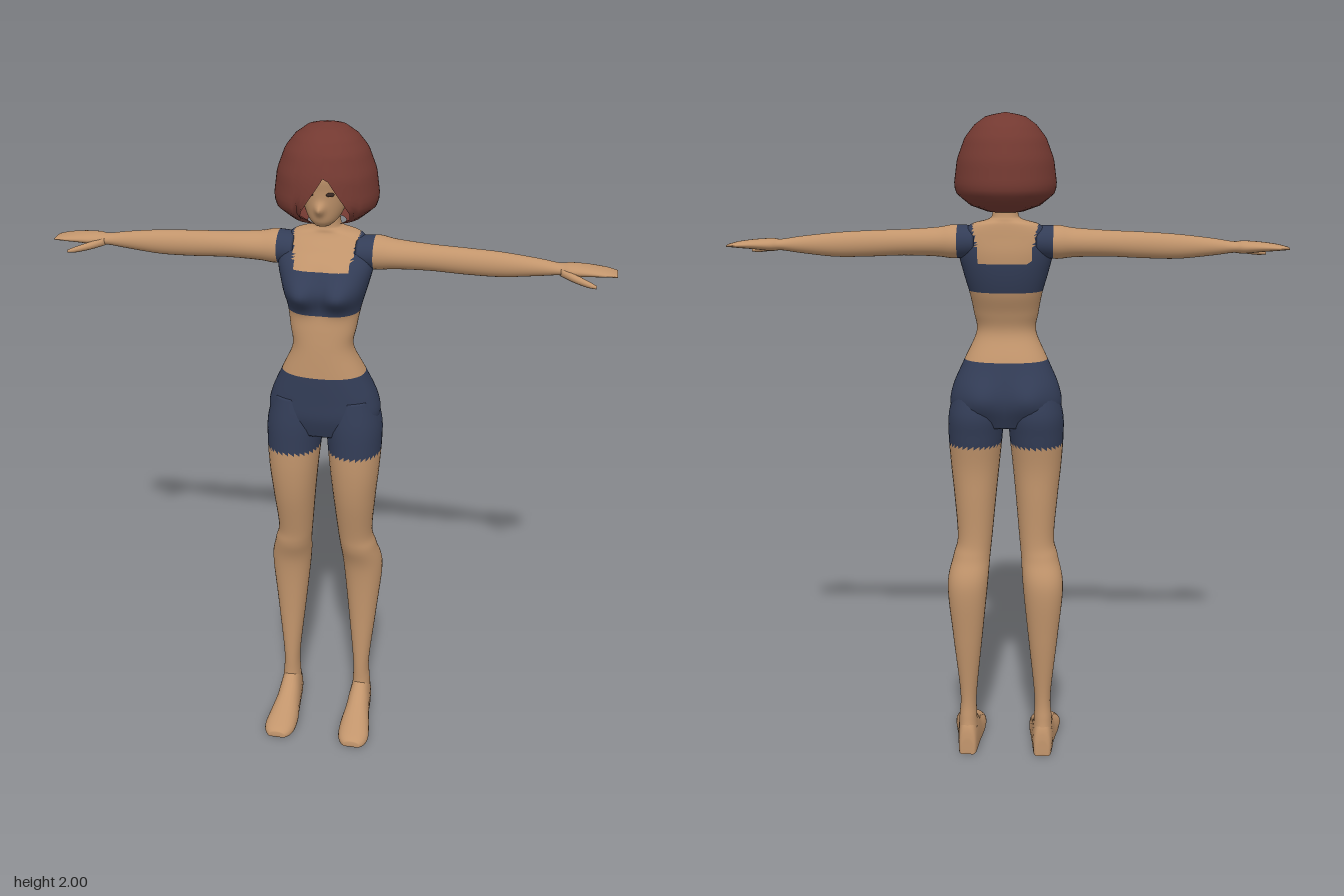
import * as THREE from 'three';

const mat = (name, color, extra = {}) => {
  const m = new THREE.MeshStandardMaterial({ color, ...extra });
  m.name = name;
  return m;
};

// Places (t, a, b) of a section: t runs along the limb, a and b span its cross-section
const AXES = {
  y: { put: (t, a, b) => [a, t, b], flip: false },
  x: { put: (t, a, b) => [t, a, b], flip: true },
  z: { put: (t, a, b) => [a, b, t], flip: true },
};

// Smooth value between section rows
function blend(s, i, f) {
  const p = (k) => s[Math.min(Math.max(k, 0), s.length - 1)];
  return s[i].map((_, k) => {
    const [a, b, c, d] = [p(i - 1)[k], p(i)[k], p(i + 1)[k], p(i + 2)[k]];
    return b + 0.5 * f * (c - a + f * (2 * a - 5 * b + 4 * c - d + f * (3 * (b - c) + d - a)));
  });
}

// Triangles by material number -> indexed geometry with groups
function assemble(pos, buckets) {
  const g = new THREE.BufferGeometry();
  g.setAttribute('position', new THREE.Float32BufferAttribute(pos, 3));
  g.setIndex(buckets.flat());
  let start = 0;
  buckets.forEach((b, i) => {
    if (b.length) g.addGroup(start, b.length, i);
    start += b.length;
  });
  g.computeVertexNormals();
  return g;
}

// Skin over sections [t, aMin, aMax, bMin, bMax]; paint picks a material per face
function loft(sections, axis, { cols = 32, sub = 6, power = 2, shape, paint = () => 0 } = {}) {
  const { put, flip } = AXES[axis];
  const pos = [], buckets = [[], []];
  const rows = (sections.length - 1) * sub;
  const bend = (v) => Math.sign(v) * Math.pow(Math.abs(v), 2 / power);
  const push = (p) => pos.push(...(shape ? shape(...p) : p));
  const sectionAt = (r) => {
    const i = Math.min(Math.floor(r / sub), sections.length - 2);
    return blend(sections, i, r / sub - i);
  };
  for (let r = 0; r <= rows; r++) {
    const [t, a0, a1, b0, b1] = sectionAt(r);
    for (let c = 0; c < cols; c++) {
      const q = (c / cols) * Math.PI * 2;
      push(put(t, (a0 + a1) / 2 + ((a1 - a0) / 2) * bend(Math.cos(q)),
        (b0 + b1) / 2 + ((b1 - b0) / 2) * bend(Math.sin(q))));
    }
  }
  for (const r of [0, rows]) {
    const [t, a0, a1, b0, b1] = sectionAt(r);
    push(put(t, (a0 + a1) / 2, (b0 + b1) / 2));
  }
  const tri = (a, b, c) => {
    const mid = [0, 1, 2].map((k) => (pos[a * 3 + k] + pos[b * 3 + k] + pos[c * 3 + k]) / 3);
    buckets[paint(...mid)].push(...(flip ? [a, c, b] : [a, b, c]));
  };
  const first = (rows + 1) * cols;
  for (let c = 0; c < cols; c++) {
    const n = (c + 1) % cols;
    for (let r = 0; r < rows; r++) {
      const o = r * cols, u = o + cols;
      tri(o + c, u + c, o + n);
      tri(o + n, u + c, u + n);
    }
    tri(first, c, n);
    tri(first + 1, rows * cols + n, rows * cols + c);
  }
  return assemble(pos, buckets);
}

// Copy on the other side of x = 0, with corners reordered
function mirror(g) {
  const m = g.clone().scale(-1, 1, 1), ix = m.index.array;
  for (let i = 0; i < ix.length; i += 3) [ix[i], ix[i + 1]] = [ix[i + 1], ix[i]];
  m.computeVertexNormals();
  return m;
}

// Bobbed hair: rounded shell whose lower edge rises over the face
function hairGeometry() {
  const profile = [[2, 0], [1.99, 0.055], [1.965, 0.09], [1.93, 0.118], [1.87, 0.141],
    [1.8, 0.15], [1.775, 0.146], [1.74, 0.105], [1.722, 0.055]];
  const radius = (y) => {
    const i = Math.max(1, profile.findIndex((p) => p[0] <= y + 1e-6));
    const [y0, r0] = profile[i - 1], [y1, r1] = profile[i];
    return r0 + ((r1 - r0) * (y0 - y)) / (y0 - y1);
  };
  const cols = 60, rows = 24, pos = [], faces = [];
  for (let r = 0; r <= rows; r++) {
    for (let c = 0; c < cols; c++) {
      const q = (c / cols) * Math.PI * 2 - Math.PI;
      const away = Math.abs(q - 0.14);
      const edge = away < 0.64 ? 1.885 - 0.14 * (away / 0.64) : 1.722;
      const y = 2 - (2 - edge) * Math.pow(r / rows, 1.5);
      const d = radius(y);
      pos.push(Math.sin(q) * d * 0.99, y, -0.037 + Math.cos(q) * d);
    }
  }
  for (let r = 0; r < rows; r++) {
    for (let c = 0; c < cols; c++) {
      const n = (c + 1) % cols, o = r * cols, u = o + cols;
      if (r) faces.push(o + c, u + c, o + n);
      faces.push(o + n, u + c, u + n);
    }
  }
  return assemble(pos, [faces]);
}

export function createModel() {
  const skin = mat('skin', 0xc2956c);
  const navy = mat('navy cloth', 0x333d57);
  const red = mat('auburn hair', 0x733931, { side: THREE.DoubleSide });
  const dark = mat('dark eye', 0x3a2a24);
  const model = new THREE.Group();
  const add = (name, geometry, material) => {
    const mesh = new THREE.Mesh(geometry, material);
    mesh.name = name;
    model.add(mesh);
    return mesh;
  };
  const pair = (name, geometry, material) => {
    add('left' + name, geometry, material);
    add('right' + name, mirror(geometry), material);
  };
  const bump = (x, y, cx, cy, rx, ry) => Math.exp(-(((Math.abs(x) - cx) / rx) ** 2) - ((y - cy) / ry) ** 2);

  // Torso and neck, with a cropped top and the upper part of the shorts
  const torso = [[1.08, 0.14, -0.08, 0.07], [1.14, 0.168, -0.1, 0.088], [1.2, 0.16, -0.1, 0.09],
    [1.28, 0.125, -0.08, 0.09], [1.36, 0.09, -0.048, 0.087], [1.42, 0.097, -0.06, 0.082],
    [1.48, 0.108, -0.085, 0.075], [1.54, 0.125, -0.1, 0.078], [1.6, 0.138, -0.105, 0.065],
    [1.65, 0.13, -0.1, 0.028], [1.685, 0.1, -0.095, 0], [1.7, 0.05, -0.09, -0.005],
    [1.72, 0.037, -0.085, -0.008], [1.8, 0.036, -0.08, 0]].map(([y, w, b, f]) => [y, -w, w, b, f]);
  add('torso', loft(torso, 'y', {
    cols: 56, sub: 7, power: 2.3,
    shape: (x, y, z) => [x, y, z > 0
      ? z + 0.045 * bump(x, y, 0.058, 1.535, 0.05, 0.045) * Math.min(1, z / 0.04)
      : z - 0.022 * bump(x, y, 0.075, 1.17, 0.06, 0.06) * Math.min(1, -z / 0.05)],
    paint: (x, y, z) => {
      if (y < 1.28) return 1;
      const [low, high] = z > 0 ? [1.47, 1.6] : [1.49, 1.575];
      const strap = y < 1.7 && Math.abs(x) > 0.078 + (y - 1.6) * 0.2;
      return y > low && (y < high || strap) ? 1 : 0;
    },
  }), [skin, navy]);

  // Legs, with the shorts reaching the upper thigh
  pair('Leg', loft([[0.08, 0.09, 0.15, -0.085, 0.01], [0.12, 0.092, 0.148, -0.078, 0],
    [0.2, 0.092, 0.145, -0.075, 0], [0.4, 0.072, 0.165, -0.1, 0], [0.57, 0.055, 0.18, -0.115, 0.01],
    [0.66, 0.048, 0.163, -0.09, 0.036], [0.72, 0.042, 0.15, -0.08, 0.046], [0.85, 0.03, 0.16, -0.082, 0.077],
    [0.95, 0.02, 0.17, -0.085, 0.09], [1.05, 0.01, 0.176, -0.1, 0.092], [1.12, 0.006, 0.173, -0.108, 0.09],
    [1.2, 0.02, 0.15, -0.09, 0.08]], 'y',
  { sub: 8, power: 2.15, paint: (x, y) => (y > 1.022 ? 1 : 0) }), [skin, navy]);

  // Feet, flat underneath
  pair('Foot', loft([[-0.09, 0.1, 0.14, -0.03, 0.05], [-0.08, 0.092, 0.148, -0.05, 0.1],
    [-0.04, 0.087, 0.153, -0.07, 0.14], [0, 0.083, 0.156, -0.06, 0.122], [0.04, 0.079, 0.161, -0.05, 0.088],
    [0.09, 0.073, 0.17, -0.04, 0.062], [0.14, 0.074, 0.175, -0.03, 0.042], [0.17, 0.084, 0.167, -0.02, 0.03],
    [0.187, 0.1, 0.152, -0.01, 0.02]], 'z',
  { cols: 24, sub: 4, power: 2.2, shape: (x, y, z) => [x, Math.max(0, y), z] }), [skin, navy]);

  // Arms ending in flat hands; the straps wrap the shoulders
  pair('Arm', loft([[0.09, 1.59, 1.68, -0.09, 0.02], [0.15, 1.585, 1.683, -0.095, 0.015],
    [0.2, 1.59, 1.675, -0.085, 0.008], [0.3, 1.592, 1.668, -0.072, 0], [0.4, 1.588, 1.664, -0.068, -0.003],
    [0.5, 1.587, 1.658, -0.068, -0.007], [0.6, 1.597, 1.647, -0.063, -0.012], [0.66, 1.605, 1.638, -0.06, -0.012],
    [0.69, 1.603, 1.64, -0.07, -0.003], [0.74, 1.608, 1.637, -0.075, 0], [0.79, 1.612, 1.63, -0.073, 0],
    [0.82, 1.615, 1.622, -0.065, -0.005]], 'x',
  { cols: 28, sub: 6, paint: (x) => (x < 0.14 ? 1 : 0) }), [skin, navy]);
  pair('Thumb', loft([[0.665, 1.607, 1.63, -0.03, -0.008], [0.7, 1.599, 1.622, -0.014, 0.014],
    [0.74, 1.593, 1.611, 0.008, 0.029], [0.765, 1.593, 1.602, 0.022, 0.034]], 'x',
  { cols: 14, sub: 4 }), [skin, navy]);

  // Head with a small nose
  const head = [[1.728, 0.022, 0, 0.048], [1.745, 0.043, -0.06, 0.062], [1.78, 0.06, -0.1, 0.069],
    [1.83, 0.07, -0.12, 0.074], [1.88, 0.074, -0.13, 0.078], [1.93, 0.058, -0.1, 0.045]]
    .map(([y, w, b, f]) => [y, -w, w, b, f]);
  add('head', loft(head, 'y', {
    cols: 48, sub: 8,
    shape: (x, y, z) => [x, y, z > 0 ? z + 0.021 * bump(x, y, 0, 1.782, 0.012, 0.016) : z],
  }), [skin, navy]);

  // Eyes
  for (const s of [1, -1]) {
    const eye = add(s > 0 ? 'leftEye' : 'rightEye', new THREE.SphereGeometry(1, 16, 8), dark);
    eye.scale.set(0.012, 0.006, 0.004);
    eye.position.set(0.029 * s, 1.825, 0.066);
    eye.rotation.y = 0.35 * s;
  }

  add('hair', hairGeometry(), red);
  return model;
}
